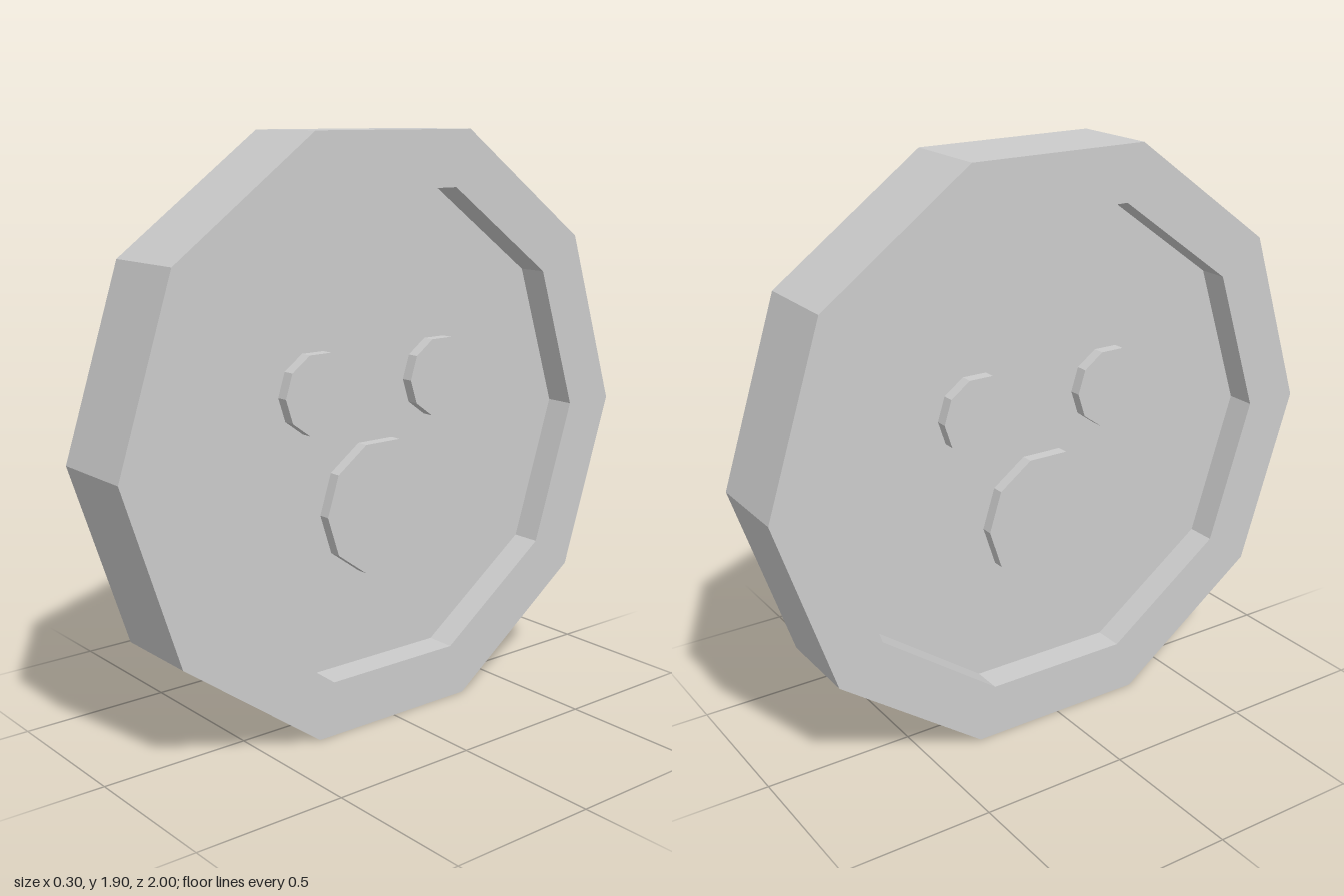
import * as THREE from 'three';

const SIDES = 10;
const CENTER_Y = 0.951;

export function createModel() {
  const group = new THREE.Group();
  const material = new THREE.MeshStandardMaterial({ color: 0xcccccc, flatShading: true });

  // Adds a ten-sided part turned so that its axis lies along x
  const addPart = (name, geometry, y, z) => {
    const mesh = new THREE.Mesh(geometry.rotateZ(Math.PI / 2), material);
    mesh.name = name;
    mesh.position.set(0, y, z);
    group.add(mesh);
  };

  // Disc with a raised rim and a recessed floor on both faces
  const profile = [
    [0, -0.05], [0.81, -0.05], [0.81, -0.15], [1, -0.15],
    [1, 0.15], [0.81, 0.15], [0.81, 0.05], [0, 0.05],
  ].map(([r, h]) => new THREE.Vector2(r, h));
  addPart('rimmedDisc', new THREE.LatheGeometry(profile, SIDES), CENTER_Y, 0);

  // Bosses pass through the disc and stand proud of both floors
  const addBoss = (name, radius, y, z) =>
    addPart(name, new THREE.CylinderGeometry(radius, radius, 0.18, SIDES), y, z);
  addBoss('largeBoss', 0.225, 0.705, 0);
  addBoss('smallBossFront', 0.133, 1.105, 0.25);
  addBoss('smallBossBack', 0.133, 1.105, -0.25);

  return group;
}
